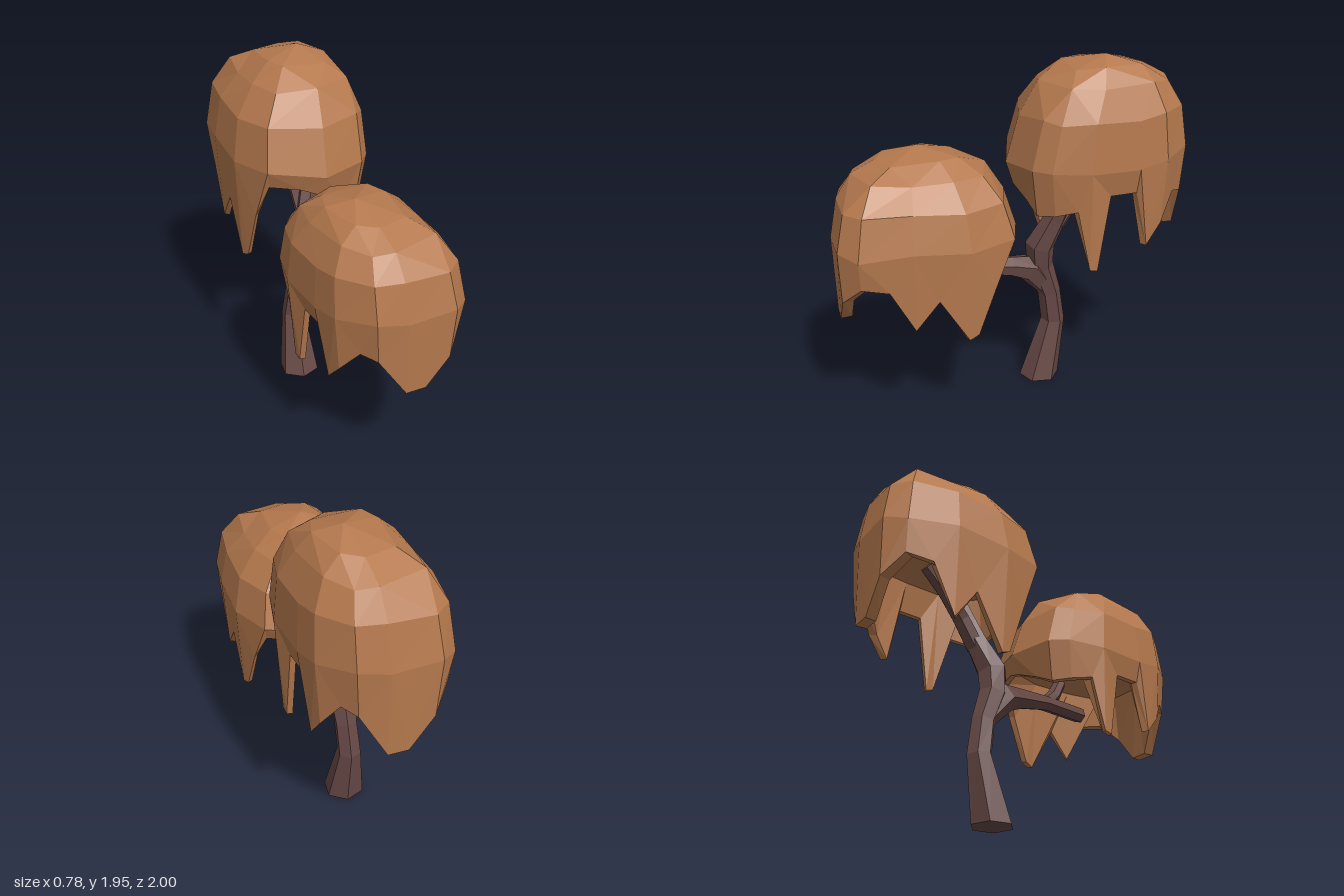
import * as THREE from 'three';

const leafMat = new THREE.MeshStandardMaterial({ color: 0xb5794e, flatShading: true });
leafMat.name = 'autumn leaves';
const barkMat = new THREE.MeshStandardMaterial({ color: 0x684a47, flatShading: true });
barkMat.name = 'dark bark';

// Joins equal-length rings of points into a faceted skin, skipping collapsed triangles
function loft(rings) {
  const pos = [];
  const n = rings[0].length;
  const tri = (a, b, c) => {
    const area = b.clone().sub(a).cross(c.clone().sub(a)).length();
    if (area > 1e-6) for (const p of [a, b, c]) pos.push(p.x, p.y, p.z);
  };
  for (let i = 0; i < rings.length - 1; i++) {
    for (let j = 0; j < n; j++) {
      const k = (j + 1) % n;
      tri(rings[i][j], rings[i][k], rings[i + 1][k]);
      tri(rings[i][j], rings[i + 1][k], rings[i + 1][j]);
    }
  }
  const g = new THREE.BufferGeometry();
  g.setAttribute('position', new THREE.Float32BufferAttribute(pos, 3));
  g.computeVertexNormals();
  return g;
}

// Crown outline from the front round by +x: x, z and height of the ragged hem
const outline = [
  [-0.1, 0.98, 0.63], [0.02, 0.99, 0.63], [0.16, 1.0, 0.78], [0.27, 0.92, 0.88],
  [0.32, 0.78, 0.86], [0.335, 0.65, 0.63], [0.35, 0.52, 0.78], [0.36, 0.35, 0.53],
  [0.35, 0.29, 0.55], [0.34, 0.18, 0.8], [0.29, 0.09, 0.97], [0.12, 0.01, 0.95],
  [0, -0.03, 0.91], [-0.14, 0, 0.86], [-0.25, 0.02, 0.81], [-0.33, 0.1, 0.82],
  [-0.38, 0.22, 0.84], [-0.39, 0.3, 0.55], [-0.39, 0.35, 0.54], [-0.39, 0.42, 0.9],
  [-0.39, 0.58, 0.9], [-0.385, 0.66, 0.63], [-0.375, 0.75, 0.73], [-0.31, 0.85, 0.86],
  [-0.25, 0.93, 0.84],
];
const MID_Z = 0.49;
const ALL = outline.map((_, j) => j);
const BROAD = [0, 2, 3, 5, 7, 10, 12, 14, 15, 17, 20, 22, 24];
const BROADER = [0, 3, 5, 7, 10, 12, 15, 18, 22, 24];
const TOP = [0, 3, 7, 10, 14, 18, 23];

// One crown ring: outline scaled in x and to front and rear; only the kept columns stay distinct.
// Without a height it follows the hem.
function crownRing({ x: sx, front, rear, y, keep = ALL, wobble = 0, shift = 0 }) {
  return outline.map((_, j) => {
    const m = keep.filter((k) => k <= j).pop();
    const [x, z, hem] = outline[m];
    const h = y === undefined ? hem : y + wobble * Math.sin(m * 2.3 + sx * 9);
    const dz = z - MID_Z;
    return new THREE.Vector3(x * sx + shift, h, MID_Z + dz * (dz > 0 ? front : rear));
  });
}

function crownGeometry() {
  return loft([
    { x: 0, front: 0, rear: 0, y: 1.16 },                                  // hollow underside
    { x: 0.74, front: 0.78, rear: 0.78, y: 1.04, keep: BROAD },
    { x: 0.84, front: 0.85, rear: 0.86 },                                  // inner hem
    { x: 0.92, front: 0.975, rear: 0.92 },                                 // outer hem
    { x: 1, front: 1, rear: 1, y: 1.04, keep: BROAD, wobble: 0.025 },
    { x: 0.93, front: 0.91, rear: 0.87, y: 1.25, keep: BROAD, wobble: 0.015, shift: -0.015 },
    { x: 0.7, front: 0.74, rear: 0.68, y: 1.385, keep: BROADER, wobble: 0.012, shift: -0.04 },
    { x: 0.46, front: 0.45, rear: 0.43, y: 1.455, keep: TOP, wobble: 0.008, shift: -0.065 },
    { x: 0, front: 0, rear: 0, y: 1.5, shift: -0.11 },
  ].map(crownRing));
}

// Six-sided tapering limb through points [x, y, z, radius], capped at both ends
function limbGeometry(path) {
  const pts = path.map(([x, y, z]) => new THREE.Vector3(x, y, z));
  const rings = pts.map((p, i) => {
    const t = pts[Math.min(i + 1, pts.length - 1)].clone()
      .sub(pts[Math.max(i - 1, 0)]).normalize();
    const u = new THREE.Vector3(1, 0, 0).addScaledVector(t, -t.x).normalize();
    const v = t.clone().cross(u);
    return Array.from({ length: 6 }, (_, k) => {
      const a = (k / 6) * Math.PI * 2 + 0.3;
      const q = p.clone().addScaledVector(u, Math.cos(a) * path[i][3])
        .addScaledVector(v, Math.sin(a) * path[i][3]);
      if (path[i][1] === 0) q.y = 0;
      return q;
    });
  });
  const cap = (p) => Array(6).fill(p);
  return loft([cap(pts[0]), ...rings, cap(pts[pts.length - 1])]);
}

export function createModel() {
  const model = new THREE.Group();
  model.name = 'tree';
  const add = (name, geometry, material) => {
    const mesh = new THREE.Mesh(geometry, material);
    mesh.name = name;
    model.add(mesh);
    return mesh;
  };

  // Trunk and limbs
  add('trunk', limbGeometry([
    [-0.06, 0, -0.205, 0.118], [-0.05, 0.36, -0.285, 0.07],
    [-0.04, 0.55, -0.255, 0.066], [-0.04, 0.72, -0.195, 0.078],
    [-0.02, 0.86, -0.185, 0.085], [0.03, 1.03, -0.255, 0.065],
    [0.07, 1.17, -0.3, 0.055], [0.12, 1.34, -0.33, 0.035],
  ]), barkMat);
  add('backBranch', limbGeometry([
    [0.03, 1.0, -0.26, 0.055], [0.03, 1.14, -0.36, 0.05],
    [0.01, 1.25, -0.48, 0.045], [0, 1.36, -0.62, 0.04],
  ]), barkMat);
  add('frontBranch', limbGeometry([
    [-0.045, 0.58, -0.24, 0.06], [-0.04, 0.72, -0.13, 0.085], [-0.02, 0.755, 0.0, 0.06],
    [0, 0.79, 0.2, 0.045], [0.03, 0.8, 0.5, 0.045],
  ]), barkMat);
  add('frontTwig', limbGeometry([
    [0, 0.78, 0.2, 0.04], [0.02, 0.86, 0.29, 0.04], [0.03, 0.96, 0.35, 0.035],
  ]), barkMat);

  // Two matching crowns; the rear one is turned round, raised and taller
  const crown = crownGeometry();
  add('frontCrown', crown, leafMat);
  const back = add('backCrown', crown, leafMat);
  back.rotation.y = Math.PI;
  back.scale.y = 1.175;
  back.position.y = 0.187;
  return model;
}
